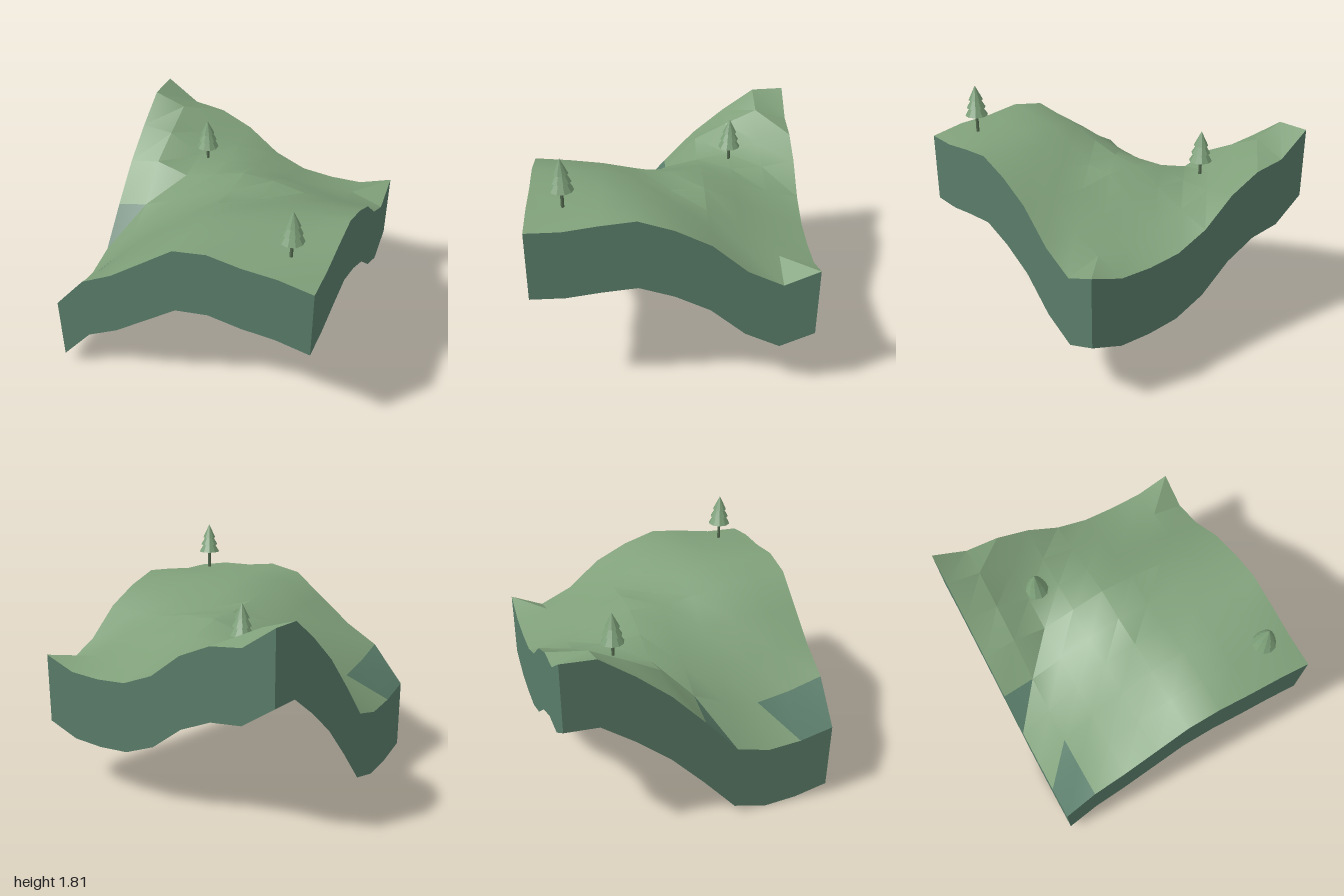
import * as THREE from 'three';
import { toCreasedNormals } from 'three/addons/utils/BufferGeometryUtils.js';

const N = 8, SKIRT = 0.53;

// Ground heights: rows run back to front, columns run from -x to +x
const HEIGHTS = [
  [1.56, 1.39, 1.36, 1.25, 1.06, 0.96, 0.94, 0.95, 1.04],
  [1.55, 1.47, 1.29, 1.20, 1.12, 1.05, 1.00, 1.01, 0.93],
  [1.37, 1.35, 1.20, 1.19, 1.21, 1.17, 1.12, 1.08, 1.05],
  [1.16, 1.22, 1.15, 1.23, 1.30, 1.295, 1.25, 1.25, 1.265],
  [0.89, 0.955, 1.07, 1.20, 1.30, 1.285, 1.33, 1.37, 1.39],
  [0.60, 0.84, 1.03, 1.19, 1.34, 1.39, 1.43, 1.45, 1.47],
  [0.535, 0.79, 1.04, 1.23, 1.39, 1.45, 1.46, 1.45, 1.44],
  [0.56, 0.84, 1.05, 1.25, 1.42, 1.47, 1.46, 1.44, 1.40],
  [0.625, 0.92, 1.06, 1.25, 1.44, 1.485, 1.45, 1.44, 1.395],
];

function material(name, color, side = THREE.FrontSide) {
  const m = new THREE.MeshStandardMaterial({ color, side });
  m.name = name;
  return m;
}

function addMesh(parent, name, geometry, mat) {
  const mesh = new THREE.Mesh(geometry, mat);
  mesh.name = name;
  parent.add(mesh);
  return mesh;
}

// Rolling ground sheet; a few low triangles take the second material
function groundGeometry() {
  const geo = new THREE.PlaneGeometry(2, 2, N, N).rotateX(-Math.PI / 2);
  const pos = geo.attributes.position;
  for (let i = 0; i < pos.count; i++) {
    pos.setY(i, HEIGHTS[Math.floor(i / (N + 1))][i % (N + 1)]);
  }
  const tri = (ix, iz, half) => 2 * (iz * N + ix) + half;
  const damp = new Set([tri(0, 4, 0), tri(0, 6, 1), tri(0, 7, 0), tri(0, 7, 1)]);
  geo.clearGroups();
  for (let t = 0; t < 2 * N * N; t++) geo.addGroup(t * 3, 3, damp.has(t) ? 1 : 0);
  return toCreasedNormals(geo, 0.5);
}

// One wall hanging from an edge of the ground; edge(i) gives the grid cell
function wallGeometry(edge) {
  const points = [];
  const corner = (i, drop) => {
    const [ix, iz] = edge(i);
    return [-1 + ix * 2 / N, HEIGHTS[iz][ix] - drop, -1 + iz * 2 / N];
  };
  for (let i = 0; i < N; i++) {
    const a = corner(i, 0), b = corner(i, SKIRT);
    const c = corner(i + 1, SKIRT), d = corner(i + 1, 0);
    points.push(...a, ...b, ...c, ...a, ...c, ...d);
  }
  const geo = new THREE.BufferGeometry();
  geo.setAttribute('position', new THREE.Float32BufferAttribute(points, 3));
  geo.computeVertexNormals();
  return geo;
}

// Three-tiered conifer on a thin trunk
function makeTree(name, x, y, z, leaf, bark) {
  const tree = new THREE.Group();
  tree.name = name;
  tree.position.set(x, y, z);
  const trunk = new THREE.CylinderGeometry(0.012, 0.012, 0.145, 8).translate(0, 0.0725, 0);
  addMesh(tree, 'trunk', trunk, bark);
  const profile = [
    [0, 0.135], [0.086, 0.135], [0.048, 0.197], [0.071, 0.197],
    [0.036, 0.257], [0.054, 0.257], [0, 0.367],
  ].map(([r, h]) => new THREE.Vector2(r, h));
  const crown = new THREE.LatheGeometry(profile, 10);
  addMesh(tree, 'crown', toCreasedNormals(crown, 0.3), leaf);
  return tree;
}

export function createModel() {
  const model = new THREE.Group();
  model.name = 'hillTile';
  const grass = material('grass', 0x7f9f79, THREE.DoubleSide);
  const earth = material('earth', 0x597c69, THREE.DoubleSide);
  const leaf = material('leaf', 0x7b9e77, THREE.DoubleSide);
  const bark = material('bark', 0x556b50);

  addMesh(model, 'ground', groundGeometry(), [grass, earth]);

  // Open-bottomed walls, ordered so that each faces outwards
  const walls = {
    frontWall: i => [i, N],
    leftWall: i => [N, N - i],
    backWall: i => [N - i, 0],
    rightWall: i => [0, i],
  };
  for (const [name, edge] of Object.entries(walls)) {
    addMesh(model, name, wallGeometry(edge), earth);
  }

  model.add(makeTree('frontTree', 0.75, 1.447, 0.75, leaf, bark));
  model.add(makeTree('backTree', -0.42, 1.172, -0.5, leaf, bark));
  return model;
}
